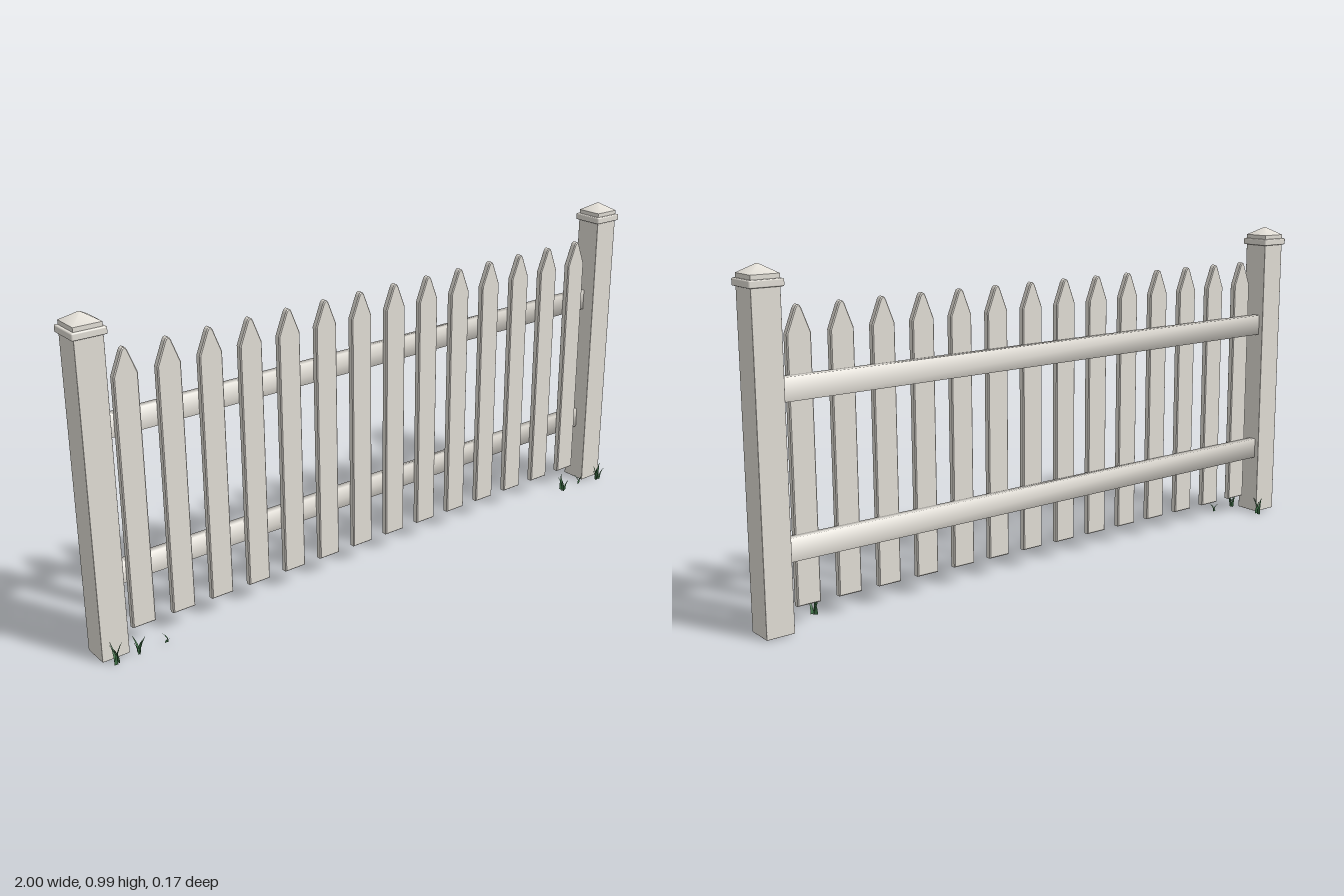
import * as THREE from 'three';
import { mergeGeometries, mergeVertices } from 'three/addons/utils/BufferGeometryUtils.js';
import { RoundedBoxGeometry } from 'three/addons/geometries/RoundedBoxGeometry.js';

const wood = new THREE.MeshStandardMaterial({ color: 0xe3dfd7 });
wood.name = 'weathered white wood';
const grass = new THREE.MeshStandardMaterial({ color: 0x3d7045, side: THREE.DoubleSide });
grass.name = 'dark grass';

function addMesh(parent, name, geometry, material, x = 0, y = 0, z = 0) {
  const mesh = new THREE.Mesh(geometry, material);
  mesh.name = name;
  mesh.position.set(x, y, z);
  parent.add(mesh);
  return mesh;
}

// Small seeded generator for the grass blades
function seeded(seed) {
  return () => (seed = (seed * 16807) % 2147483647) / 2147483647;
}

// Box whose normals are averaged over its edges, for softly shaded timber
function softBox(width, height, depth) {
  const box = new THREE.BoxGeometry(width, height, depth);
  box.deleteAttribute('normal');
  box.deleteAttribute('uv');
  const soft = mergeVertices(box);
  soft.computeVertexNormals();
  return soft;
}

// Square post with a stepped cap and a low pyramid
function makePost(name, x) {
  const post = new THREE.Group();
  post.name = name;
  post.position.set(x, 0, -0.01);
  addMesh(post, 'postShaft', new RoundedBoxGeometry(0.084, 0.94, 0.084, 1, 0.002), wood, 0, 0.472, 0);
  addMesh(post, 'capSlab', new RoundedBoxGeometry(0.1, 0.021, 0.1, 1, 0.004), wood, 0, 0.946, 0);
  addMesh(post, 'capStep', new THREE.BoxGeometry(0.083, 0.014, 0.083), wood, 0, 0.962, 0);
  const peak = new THREE.CylinderGeometry(0.004, 0.0415 * Math.SQRT2, 0.024, 4);
  peak.rotateY(Math.PI / 4);
  addMesh(post, 'capPyramid', peak, wood, 0, 0.981, 0);
  return post;
}

// Pointed picket with bevelled edges and a blunted tip
function picketGeometry() {
  const b = 0.003, w = 0.036 - b, tip = 0.007;
  const shape = new THREE.Shape();
  shape.moveTo(-w, 0.057 + b);
  shape.lineTo(w, 0.057 + b);
  shape.lineTo(w, 0.803);
  shape.lineTo(tip, 0.869);
  shape.quadraticCurveTo(0, 0.884, -tip, 0.869);
  shape.lineTo(-w, 0.803);
  shape.closePath();
  return new THREE.ExtrudeGeometry(shape, {
    depth: 0.015, bevelEnabled: true, bevelSize: b, bevelThickness: b, bevelSegments: 1, curveSegments: 4,
  });
}

// Tapered blade that bends outwards
function bladeGeometry(height, width, lean, turn) {
  const blade = new THREE.PlaneGeometry(1, 1, 1, 4);
  const p = blade.attributes.position;
  for (let i = 0; i < p.count; i++) {
    const t = p.getY(i) + 0.5;
    p.setXYZ(i, p.getX(i) * width * (1 - 0.95 * t ** 2), t * height, lean * t * t);
  }
  blade.rotateY(turn);
  blade.computeVertexNormals();
  return blade;
}

function tuftGeometry(count, height, spread, seed) {
  const random = seeded(seed);
  const blades = [];
  for (let i = 0; i < count; i++) {
    const turn = (i / count) * Math.PI * 2 + random();
    const blade = bladeGeometry(height * (0.65 + 0.35 * random()), 0.01, spread * (0.6 + 0.4 * random()), turn);
    blade.translate((random() - 0.5) * 0.016, 0, (random() - 0.5) * 0.016);
    blades.push(blade);
  }
  return mergeGeometries(blades);
}

export function createModel() {
  const fence = new THREE.Group();
  fence.name = 'picketFence';

  fence.add(makePost('rightPost', -0.948), makePost('leftPost', 0.948));

  // Horizontal rails behind the pickets
  for (const [name, y] of [['lowerRail', 0.229], ['upperRail', 0.664]]) {
    addMesh(fence, name, softBox(1.83, 0.066, 0.025), wood, 0, y, -0.0235);
  }

  // Evenly spaced pickets
  const picket = picketGeometry();
  const count = 14, first = -0.842, last = 0.838;
  for (let i = 0; i < count; i++) {
    addMesh(fence, 'picket', picket, wood, first + (i * (last - first)) / (count - 1), 0, -0.009);
  }

  // Grass tufts around the feet of the posts: x, z, height, blades
  const tufts = [
    [-0.962, 0.057, 0.07, 5], [-0.885, 0.052, 0.055, 4], [-0.8, 0.042, 0.03, 2], [-0.895, -0.072, 0.058, 3],
    [0.795, 0.045, 0.058, 4], [0.87, 0.047, 0.042, 2], [0.955, 0.057, 0.068, 5],
  ];
  tufts.forEach(([x, z, height, blades], i) => {
    addMesh(fence, 'grassTuft', tuftGeometry(blades, height, 0.024, 101 + i * 977), grass, x, 0.001, z);
  });

  return fence;
}
